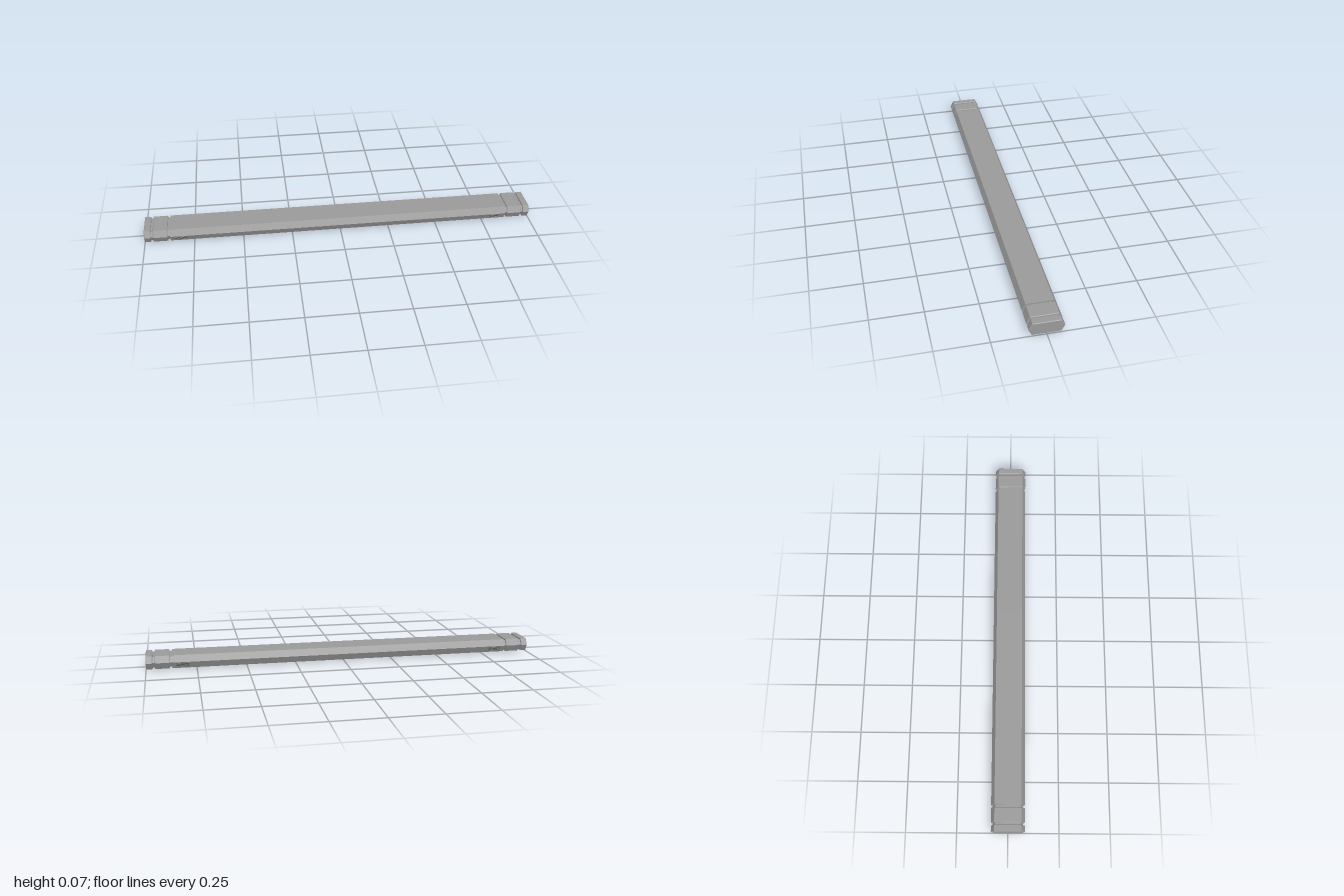
import * as THREE from 'three';

const Y0 = 0.004, Y1 = 0.07, YM = 0.037;   // bottom, top and middle of the hexagonal section
const FLAT = 0.066, WIDE = 0.0825;         // half widths of the flats and of the side ridges

const grey = new THREE.MeshStandardMaterial({ color: 0x999999 });
grey.name = 'grey housing';
const dark = new THREE.MeshStandardMaterial({ color: 0x6c6c6c });
dark.name = 'dark vent';

// Hexagonal section, shrunk by an inset; a notch cuts a channel into the underside
function section(inset = 0, notch = null) {
  const f = FLAT - inset * 0.6, w = WIDE - inset, b = Y0 + inset, t = Y1 - inset;
  const pts = [[f, b], [w, YM], [f, t], [-f, t], [-w, YM], [-f, b]];
  if (notch) {
    const { half, top } = notch;
    pts.push([-half, b], [-half, top], [half, top], [half, b]);
  }
  return new THREE.Shape(pts.map(([x, y]) => new THREE.Vector2(x, y)));
}

// Extrudes a section along x from x0 to x1, with optional chamfered ends
function bar(name, shape, x0, x1, bevel = 0) {
  const geo = new THREE.ExtrudeGeometry(shape, {
    depth: x1 - x0 - 2 * bevel, bevelEnabled: bevel > 0, bevelSegments: 1,
    bevelThickness: bevel, bevelSize: bevel, bevelOffset: -bevel,
  });
  geo.rotateY(Math.PI / 2);
  geo.translate(x0 + bevel, 0, 0);
  const mesh = new THREE.Mesh(geo, grey);
  mesh.name = name;
  return mesh;
}

function box(name, w, h, d, x, y, z, mat = grey) {
  const mesh = new THREE.Mesh(new THREE.BoxGeometry(w, h, d), mat);
  mesh.name = name;
  mesh.position.set(x, y, z);
  return mesh;
}

// Slotted vent lying on a lower slanted side
function vent(x, side) {
  const g = new THREE.Group();
  g.name = 'sideVent';
  g.add(box('ventPlate', 0.064, 0.018, 0.001, 0, 0, 0, dark));
  for (const y of [-0.0085, 0, 0.0085]) g.add(box('ventSlat', 0.064, 0.0015, 0.002, 0, y, 0));
  const tilt = Math.atan2(WIDE - FLAT, YM - Y0);
  g.rotation.order = 'YXZ';
  g.rotation.set(tilt, side > 0 ? 0 : Math.PI, 0);
  g.position.set(x, 0.0235, side * (FLAT + (0.0235 - Y0) * Math.tan(tilt)));
  return g;
}

export function createModel() {
  const model = new THREE.Group();
  model.name = 'lightBar';

  // Main housing, hollowed from below near its left end
  const r0 = 0.14, r1 = 0.85, half = 0.05, top = 0.045;
  model.add(bar('mainHousing', section(), -0.87, r0));
  model.add(bar('channelHousing', section(0, { half, top }), r0, r1));
  model.add(bar('housingEnd', section(), r1, 0.87));
  model.add(box('channelRib', 0.008, 0.025, half * 2, 0.55, top - 0.0125, 0));

  // Narrow core showing in the grooves between the segments
  model.add(bar('rightCore', section(0.008), -0.975, -0.865));
  model.add(bar('leftCore', section(0.008), 0.865, 0.975));

  for (const s of [-1, 1]) {
    // Collar and end cap
    const span = (a, b) => (s > 0 ? [a, b] : [-b, -a]);
    model.add(bar('collar', section(), ...span(0.882, 0.956), 0.003));
    model.add(bar('endCap', section(), ...span(0.967, 1), 0.003));
    for (const side of [-1, 1]) {
      // Small round feet under the collars
      const foot = new THREE.Mesh(new THREE.CylinderGeometry(0.006, 0.006, 0.006, 16), grey);
      foot.name = 'foot';
      foot.position.set(s * 0.92, 0.003, side * 0.041);
      model.add(foot);
      model.add(vent(s * 0.818, side));
    }
  }
  return model;
}
